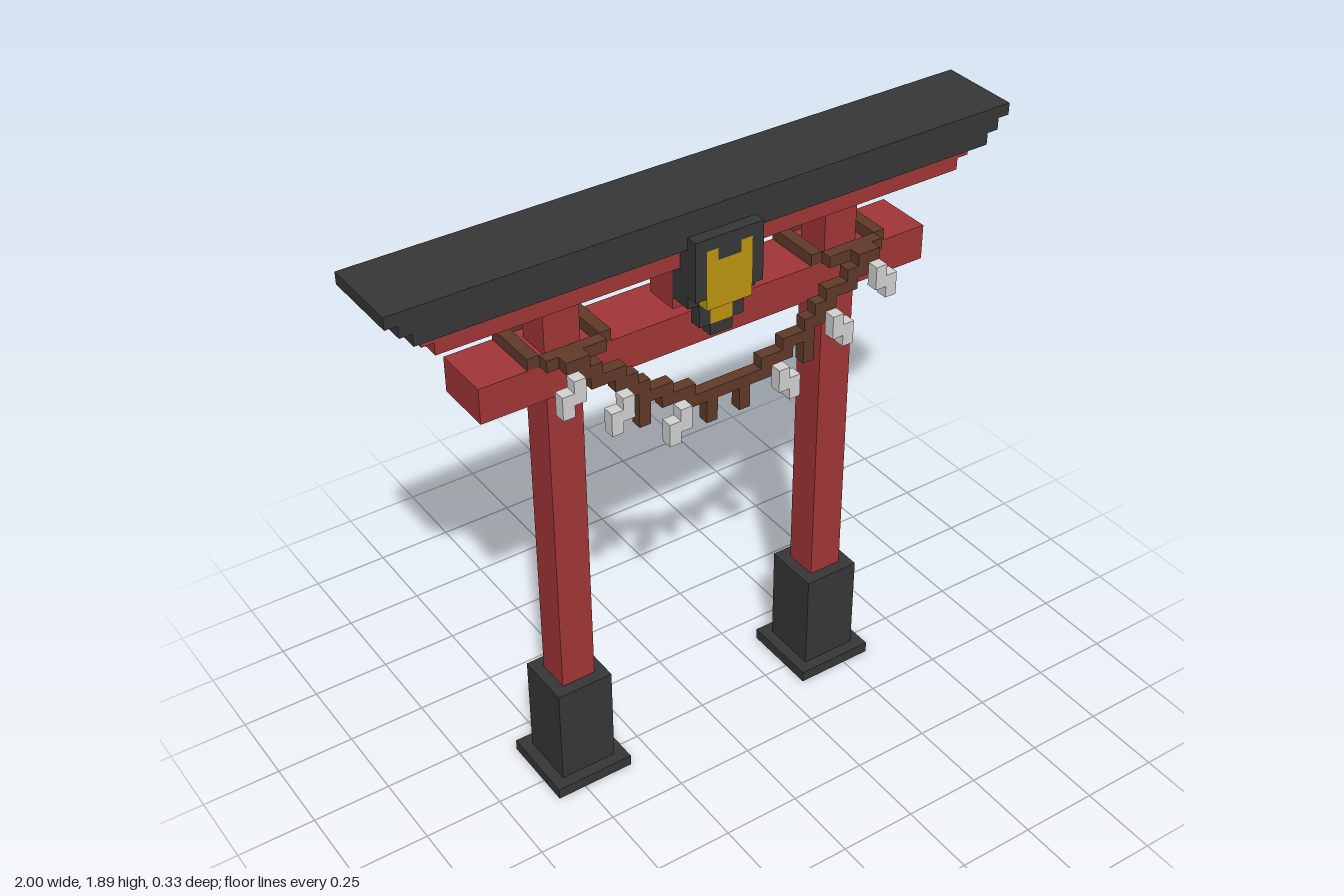
import * as THREE from 'three';

const U = 1 / 27; // one block

function mat(name, color) {
  const m = new THREE.MeshStandardMaterial({ color });
  m.name = name;
  return m;
}

export function createModel() {
  const root = new THREE.Group();
  root.name = 'shrineGate';
  const red = mat('red lacquer', 0xa33638);
  const dark = mat('charcoal', 0x373737);
  const brown = mat('rope brown', 0x613a2a);
  const gold = mat('gold', 0xc1960f);
  const white = mat('paper white', 0xd4d4d4);

  // box from corner to corner, in blocks
  function box(name, material, x0, x1, y0, y1, z0, z1) {
    const g = new THREE.BoxGeometry((x1 - x0) * U, (y1 - y0) * U, (z1 - z0) * U);
    const m = new THREE.Mesh(g, material);
    m.name = name;
    m.position.set((x0 + x1) / 2 * U, (y0 + y1) / 2 * U, (z0 + z1) / 2 * U);
    root.add(m);
  }
  // the same box on both sides
  function pair(name, material, x0, x1, ...rest) {
    box(name + 'Left', material, x0, x1, ...rest);
    box(name + 'Right', material, -x1, -x0, ...rest);
  }

  // posts on their footings
  pair('plinth', dark, 9, 16, 0, 1, -4.5, 2.5);
  pair('footing', dark, 10, 15, 1, 10, -3.5, 1.5);
  pair('post', red, 11, 14, 10, 46, -2.5, 0.5);

  // beams and stepped roof
  box('crossbeam', red, -20, 20, 39, 42, -3.5, 1.5);
  box('centreStrut', red, -3, 3, 42, 46, -2.5, 0.5);
  box('lowerLintel', red, -23, 23, 46, 47, -3.5, 1.5);
  box('upperLintel', red, -24, 24, 47, 48, -3.5, 1.5);
  for (let i = 0; i < 3; i++) {
    box('roofLayer' + (i + 1), dark, -25 - i, 25 + i, 48 + i, 49 + i, -4.5, 2.5);
  }

  // rope rings around the posts
  pair('ringFront', brown, 10, 15, 42, 43, 1.5, 2.5);
  pair('ringBack', brown, 10, 15, 42, 43, -4.5, -3.5);
  pair('ringInner', brown, 9, 10, 42, 43, -3.5, 1.5);
  pair('ringOuter', brown, 15, 16, 42, 43, -3.5, 1.5);

  // sagging rope: [x0, x1, y] per step
  const steps = [[12, 14, 42], [11, 13, 41], [9, 12, 40], [8, 10, 39], [7, 9, 38], [5, 8, 37], [3, 6, 36]];
  for (const [x0, x1, y] of steps) pair('ropeStep', brown, x0, x1, y, y + 1, 2.5, 3.5);
  box('ropeBottom', brown, -4, 4, 35, 36, 2.5, 3.5);
  pair('outerTassel', brown, 7, 8, 35, 37, 2.5, 3.5);
  pair('innerTassel', brown, 1, 2, 33, 35, 2.5, 3.5);

  // zigzag paper streamers
  for (const [x, y] of [[13, 42], [9, 39], [4, 36]]) {
    pair('streamerTop', white, x, x + 1, y - 2, y, 3.5, 4.5);
    pair('streamerEnd', white, x + 1, x + 2, y - 3, y - 1, 3.5, 4.5);
  }

  // plaque frame, stepping back towards its foot
  pair('plaqueSide', dark, 2, 3, 44, 49, 2.5, 3.5);
  box('plaqueTop', dark, -2, 2, 48, 49, 2.5, 3.5);
  box('plaqueNotch', dark, -1, 1, 47, 48, 2.5, 3.5);
  box('plaqueBacking', dark, -3, 3, 43, 48, 1.5, 2.5);
  box('plaqueMount', dark, -3, 3, 43, 46, 0.5, 1.5);
  pair('plaqueFoot', dark, 1, 2, 41, 43, 1.5, 2.5);
  box('plaqueTip', dark, -1, 1, 40, 41, 1.5, 2.5);

  // gold panel
  box('goldPanel', gold, -2, 2, 43, 47, 2.5, 3.5);
  pair('goldHorn', gold, 1, 2, 47, 48, 2.5, 3.5);
  box('goldFoot', gold, -1, 1, 41, 43, 1.5, 2.5);

  return root;
}
